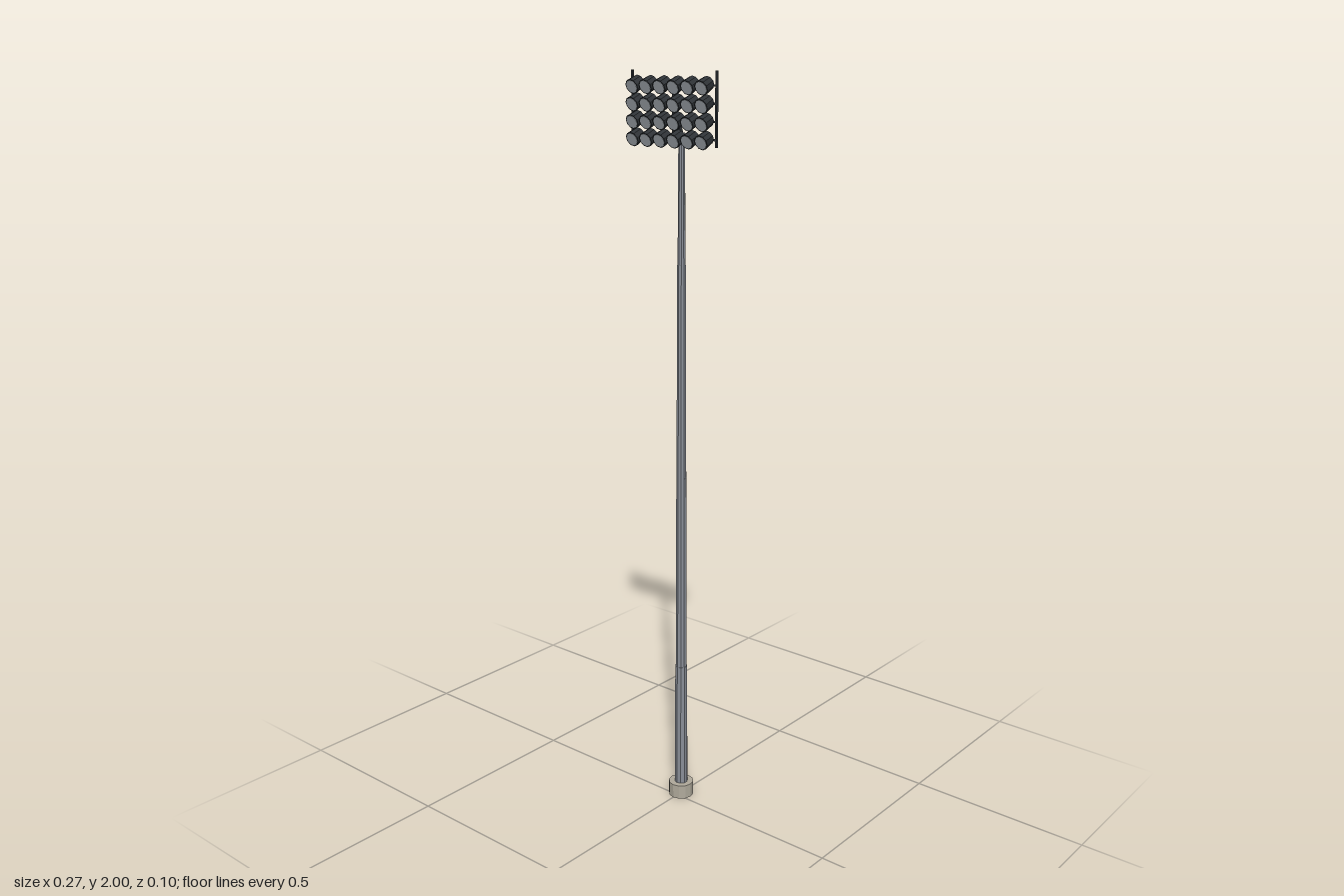
import * as THREE from 'three';

const mat = (color) => new THREE.MeshStandardMaterial({ color, flatShading: true });

export function createModel() {
  const model = new THREE.Group();
  model.name = 'floodlightMast';
  const concrete = mat(0xb0aa9c), steel = mat(0x8a8f98), dark = mat(0x2e3236), lens = mat(0xb4bcc2);
  const poleZ = -0.017, frameZ = 0.0135;

  const add = (parent, name, geometry, material, x, y, z) => {
    const mesh = new THREE.Mesh(geometry, material);
    mesh.name = name;
    mesh.position.set(x, y, z);
    parent.add(mesh);
    return mesh;
  };

  // Concrete footing
  add(model, 'footing', new THREE.CylinderGeometry(0.035, 0.035, 0.04, 12), concrete, 0, 0.02, poleZ);

  // Stepped, tapering pole: [bottom y, top y, bottom radius, top radius]
  const sections = [
    [0.04, 0.4, 0.0185, 0.017],
    [0.4, 0.95, 0.0155, 0.014],
    [0.95, 1.52, 0.0135, 0.0115],
    [1.52, 1.85, 0.0105, 0.0085],
  ];
  sections.forEach(([y0, y1, r0, r1], i) => {
    add(model, 'poleSection' + (i + 1), new THREE.CylinderGeometry(r1, r0, y1 - y0, 10), steel, 0, (y0 + y1) / 2, poleZ);
  });

  // Sloping arm from the pole top to the lamp frame
  const from = new THREE.Vector3(0, 1.84, poleZ), to = new THREE.Vector3(0, 1.915, frameZ);
  const arm = add(model, 'supportArm', new THREE.BoxGeometry(0.009, from.distanceTo(to), 0.009), dark, 0, 0, 0);
  arm.position.lerpVectors(from, to, 0.5);
  arm.quaternion.setFromUnitVectors(new THREE.Vector3(0, 1, 0), to.clone().sub(from).normalize());

  // Lamp frame: end posts, middle post and one rail per row
  const frame = new THREE.Group();
  frame.name = 'lampFrame';
  model.add(frame);
  for (const x of [-0.1345, 0.1345]) {
    add(frame, 'endPost', new THREE.BoxGeometry(0.005, 0.18, 0.006), dark, x, 1.91, frameZ);
  }
  add(frame, 'middlePost', new THREE.BoxGeometry(0.006, 0.15, 0.005), dark, 0, 1.905, frameZ);

  // Lamps: four rows of six, tilted down toward the front
  const tilt = THREE.MathUtils.degToRad(24);
  const housing = new THREE.CylinderGeometry(0.0195, 0.0175, 0.03, 10);
  const disc = new THREE.CylinderGeometry(0.0165, 0.0165, 0.001, 10);
  const backCap = new THREE.CylinderGeometry(0.0175, 0.0172, 0.001, 10);
  for (let row = 0; row < 4; row++) {
    const y = 1.8385 + row * 0.0425;
    add(frame, 'rail', new THREE.BoxGeometry(0.269, 0.005, 0.005), dark, 0, y, frameZ);
    for (let col = 0; col < 6; col++) {
      const lamp = new THREE.Group();
      lamp.name = 'lamp';
      lamp.position.set((col - 2.5) * 0.0443, y, 0.0305);
      lamp.rotation.x = Math.PI / 2 + tilt;
      add(lamp, 'housing', housing, dark, 0, 0, 0);
      add(lamp, 'lens', disc, lens, 0, 0.0152, 0);
      add(lamp, 'backCap', backCap, lens, 0, -0.0152, 0);
      frame.add(lamp);
    }
  }
  return model;
}
